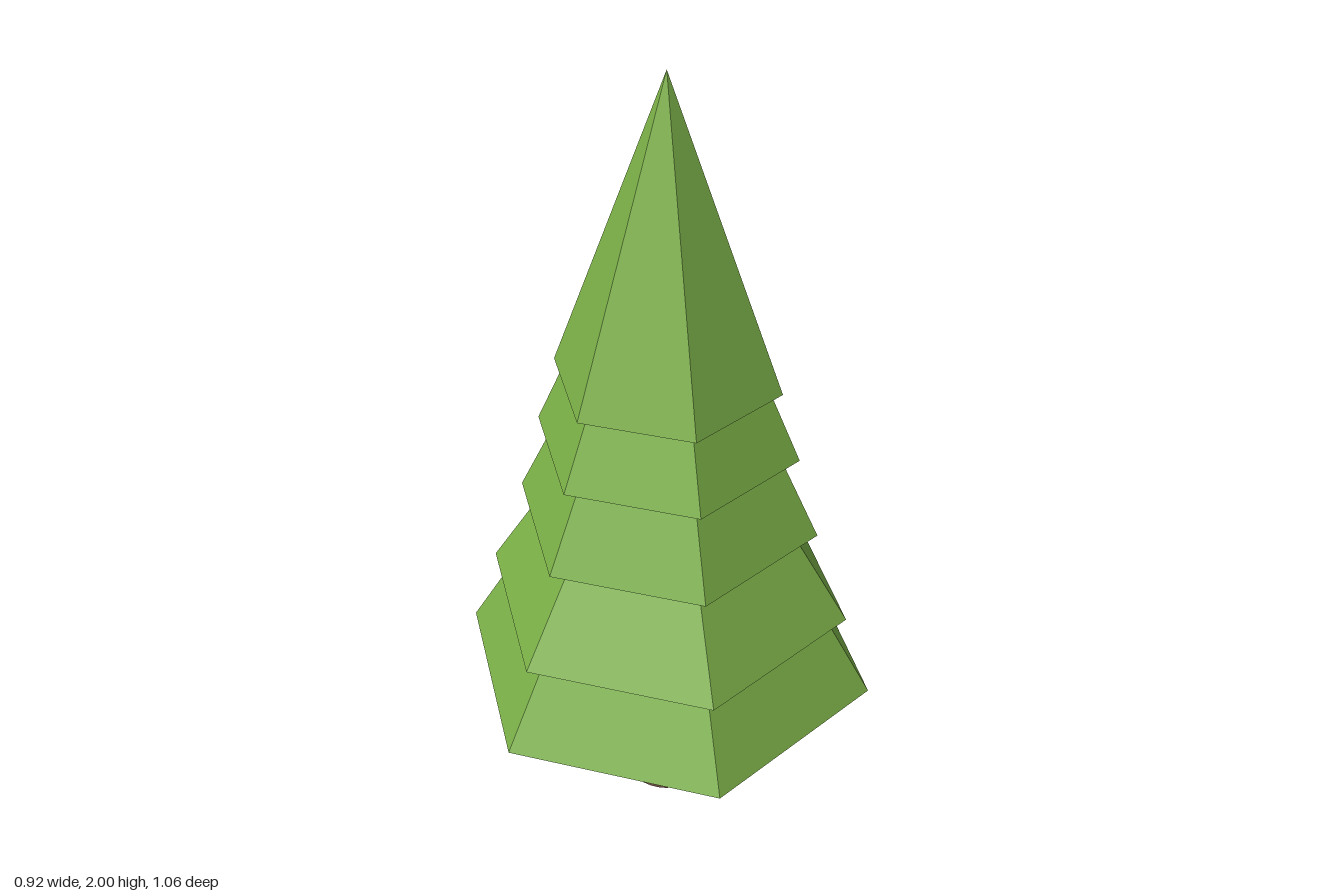
import * as THREE from 'three';

// Foliage tiers from bottom to top: base height, corner radius, cone height
const TIERS = [
  [0.40, 0.53, 0.92],
  [0.62, 0.46, 0.75],
  [0.865, 0.375, 0.79],
  [1.075, 0.322, 0.74],
  [1.25, 0.275, 0.75],
];

export function createModel() {
  const tree = new THREE.Group();
  tree.name = 'pineTree';

  const leafGreen = new THREE.MeshStandardMaterial({ color: 0x7cb148, flatShading: true });
  leafGreen.name = 'leafGreen';
  const barkBrown = new THREE.MeshStandardMaterial({ color: 0x6d4c41 });
  barkBrown.name = 'barkBrown';

  // Round, smooth trunk
  const trunkHeight = 0.41;
  const trunk = new THREE.Mesh(new THREE.CylinderGeometry(0.105, 0.105, trunkHeight, 32), barkBrown);
  trunk.name = 'trunk';
  trunk.position.y = trunkHeight / 2;
  tree.add(trunk);

  // Stacked six-sided cones, corners pointing to the front and back
  const foliage = new THREE.Group();
  foliage.name = 'foliage';
  TIERS.forEach(([base, radius, height], i) => {
    const tier = new THREE.Mesh(new THREE.ConeGeometry(radius, height, 6), leafGreen);
    tier.name = `foliageTier${i + 1}`;
    tier.position.y = base + height / 2;
    foliage.add(tier);
  });
  tree.add(foliage);

  return tree;
}
